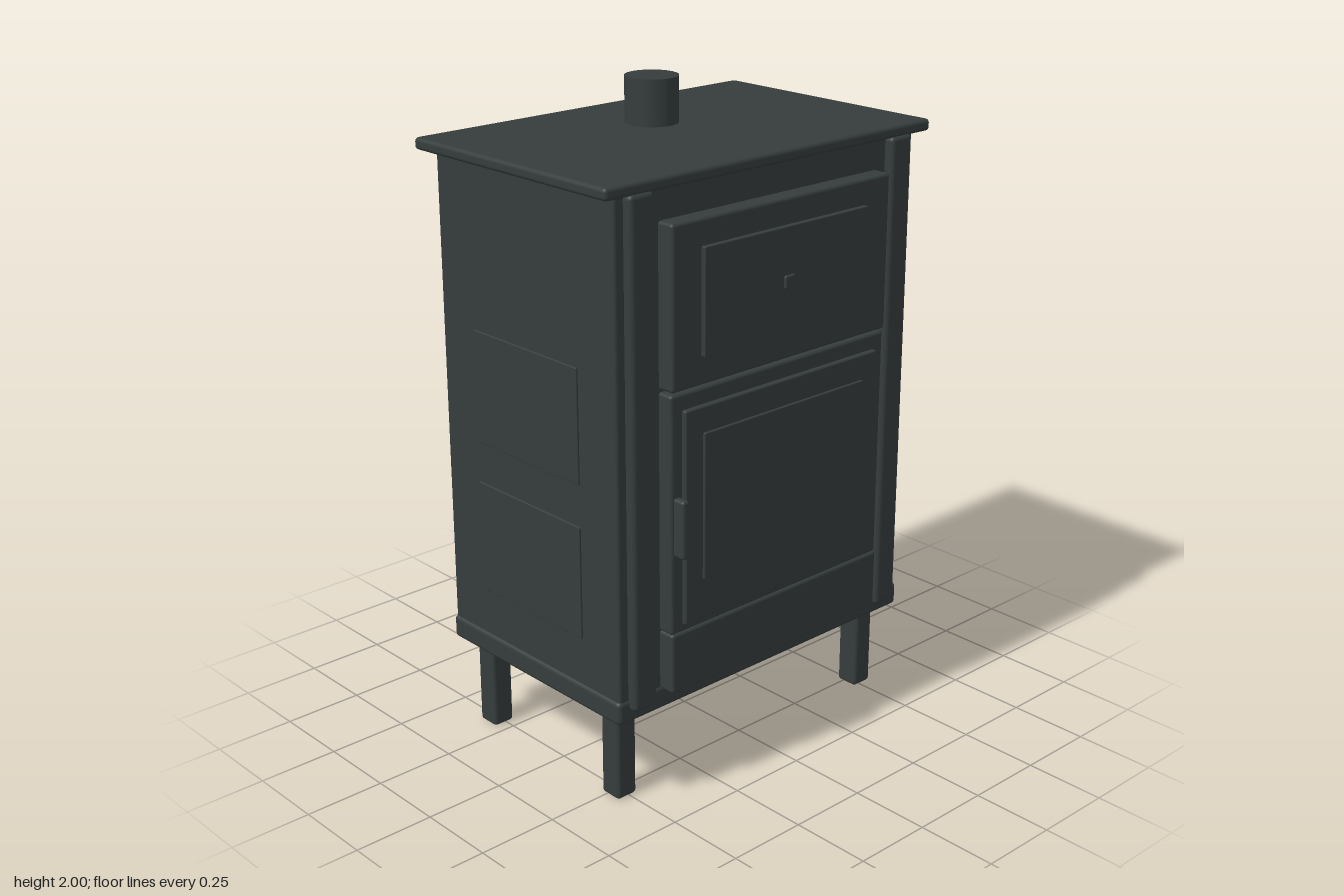
import * as THREE from 'three';
import { RoundedBoxGeometry } from 'three/addons/geometries/RoundedBoxGeometry.js';

export function createModel() {
  const group = new THREE.Group();
  const castIron = new THREE.MeshStandardMaterial({ color: 0x363d3d });
  castIron.name = 'castIron';

  // Box with softened edges, given by its limits on each axis
  function block(name, [x0, x1], [y0, y1], [z0, z1], radius = 0.01) {
    const w = x1 - x0, h = y1 - y0, d = z1 - z0;
    const r = Math.min(radius, Math.min(w, h, d) * 0.45);
    const mesh = new THREE.Mesh(new RoundedBoxGeometry(w, h, d, 3, r), castIron);
    mesh.position.set((x0 + x1) / 2, (y0 + y1) / 2, (z0 + z1) / 2);
    mesh.name = name;
    group.add(mesh);
  }

  // Body, base and top
  block('body', [-0.583, 0.583], [0.31, 1.84], [-0.41, 0.36]);
  block('basePlate', [-0.59, 0.59], [0.285, 0.36], [-0.415, 0.365], 0.015);
  block('topPlate', [-0.632, 0.632], [1.826, 1.862], [-0.445, 0.386], 0.012);

  // Flue collar
  const flue = new THREE.Mesh(new THREE.CylinderGeometry(0.08, 0.08, 0.15, 48), castIron);
  flue.position.set(0, 1.925, -0.14);
  flue.name = 'flueCollar';
  group.add(flue);

  for (const side of [-1, 1]) {
    const span = (a, b) => (side > 0 ? [a, b] : [-b, -a]);
    const prefix = side > 0 ? 'left' : 'right';

    // Front pillars
    block(prefix + 'Pillar', span(0.464, 0.55), [0.325, 1.83], [0.33, 0.39], 0.014);

    // Raised side panels
    block(prefix + 'UpperSidePanel', span(0.57, 0.589), [0.98, 1.325], [-0.257, 0.203], 0.003);
    block(prefix + 'LowerSidePanel', span(0.57, 0.589), [0.505, 0.853], [-0.257, 0.203], 0.003);

    // Legs
    block(prefix + 'FrontLeg', span(0.473, 0.545), [0, 0.29], [0.23, 0.305], 0.012);
    block(prefix + 'BackLeg', span(0.473, 0.545), [0, 0.29], [-0.358, -0.282], 0.012);
  }

  // Upper oven door with inset panel and knob
  block('ovenDoor', [-0.428, 0.428], [1.265, 1.737], [0.35, 0.415]);
  block('ovenDoorPanel', [-0.322, 0.322], [1.35, 1.66], [0.4, 0.43], 0.003);
  block('ovenKnob', [-0.02, 0.02], [1.48, 1.52], [0.42, 0.437], 0.006);

  // Firebox frame, door and window
  block('fireboxFrame', [-0.428, 0.428], [0.535, 1.257], [0.35, 0.409]);
  block('fireboxDoor', [-0.387, 0.387], [0.56, 1.208], [0.39, 0.424], 0.006);
  block('fireboxWindow', [-0.322, 0.322], [0.687, 1.13], [0.41, 0.432], 0.003);
  block('doorHandle', [-0.418, -0.393], [0.778, 0.955], [0.4, 0.447], 0.009);

  // Ash drawer
  block('ashDrawer', [-0.428, 0.428], [0.35, 0.537], [0.35, 0.413]);

  return group;
}
